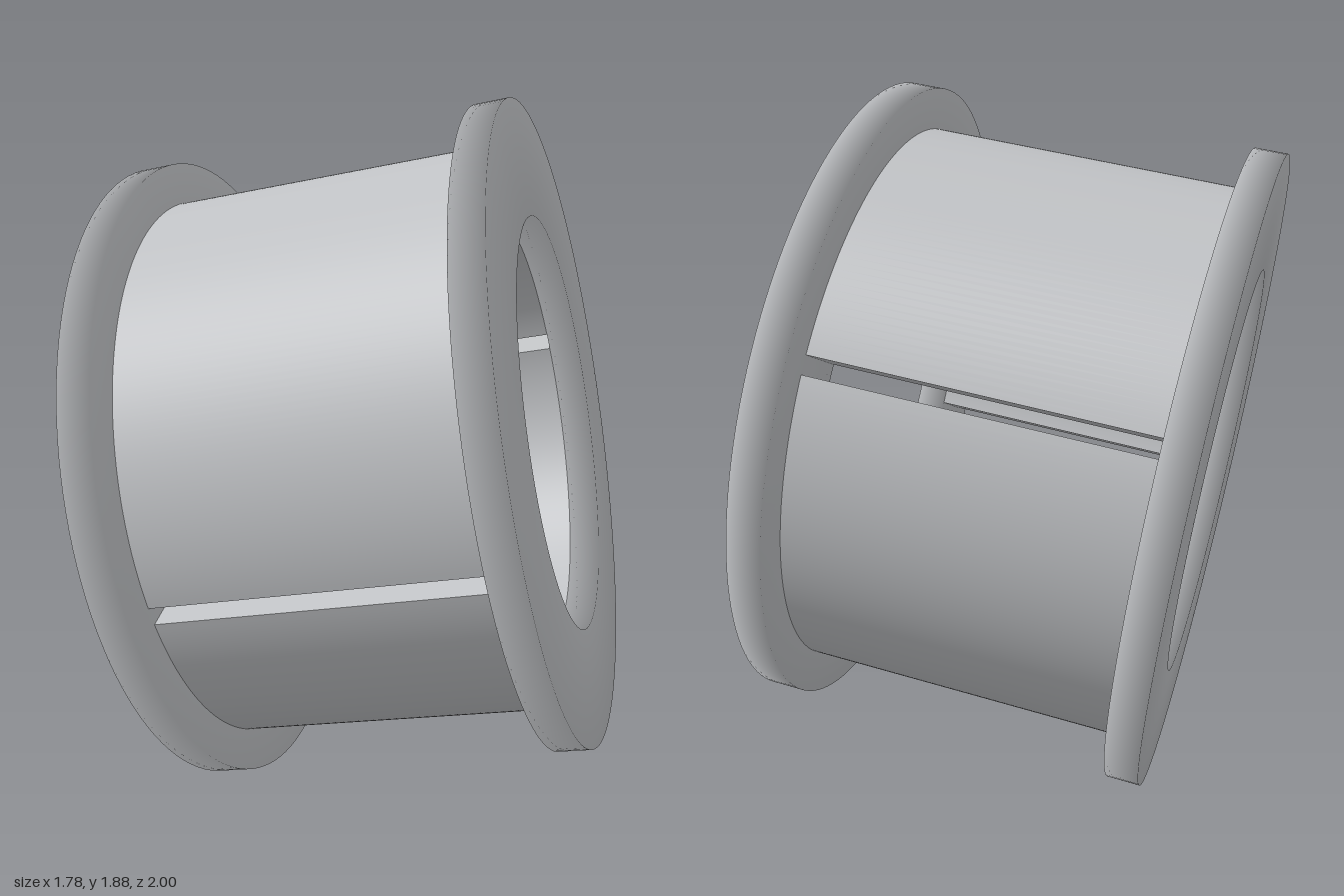
import * as THREE from 'three';
import { mergeVertices, toCreasedNormals } from 'three/addons/utils/BufferGeometryUtils.js';

const FLANGE_R = 0.861, TUBE_R = 0.753, BORE_R = 0.555;
const SPACING = 0.94, THICK = 0.086, SLOT = 0.047;

// Flat ring with normals blended over its corners, axis along z
function flangeGeometry() {
  const h = THICK / 2;
  const profile = [[FLANGE_R, -h], [FLANGE_R, h], [BORE_R, h], [BORE_R, -h], [FLANGE_R, -h]]
    .map(([r, y]) => new THREE.Vector2(r, y));
  const lathe = new THREE.LatheGeometry(profile, 128);
  lathe.deleteAttribute('uv');
  lathe.deleteAttribute('normal');
  const ring = mergeVertices(lathe, 1e-4);
  ring.computeVertexNormals();
  return ring.rotateX(Math.PI / 2);
}

// Half of the thick sleeve, cut short of the parallel-sided slots
function halfSleeveGeometry() {
  const outer = Math.asin(SLOT / 2 / TUBE_R), inner = Math.asin(SLOT / 2 / BORE_R);
  const shape = new THREE.Shape();
  shape.absarc(0, 0, TUBE_R, outer, Math.PI - outer, false);
  shape.absarc(0, 0, BORE_R, Math.PI - inner, inner, true);
  shape.closePath();
  const depth = SPACING - THICK;
  const half = new THREE.ExtrudeGeometry(shape, { depth, bevelEnabled: false, curveSegments: 64 });
  half.translate(0, 0, -depth / 2);
  return toCreasedNormals(half, 0.5);
}

export function createModel() {
  const grey = new THREE.MeshStandardMaterial({ color: 0xbfc1c4 });
  grey.name = 'plain grey';
  const model = new THREE.Group();
  model.name = 'slottedSpool';

  const flange = flangeGeometry(), half = halfSleeveGeometry();
  for (const side of [-1, 1]) {
    const ring = new THREE.Mesh(flange, grey);
    ring.name = side < 0 ? 'frontFlange' : 'rearFlange';
    ring.position.z = side * SPACING / 2;
    const sleeve = new THREE.Mesh(half, grey);
    sleeve.name = side < 0 ? 'lowerSleeve' : 'upperSleeve';
    if (side < 0) sleeve.rotation.z = Math.PI;
    model.add(ring, sleeve);
  }

  // Tilt: local z is the spool axis, local x points through the slots
  const axis = new THREE.Vector3(0.847, 0.178, -0.5).normalize();
  const up = axis.clone().cross(new THREE.Vector3(0.531, -0.288, 0.797)).normalize();
  const slotDir = up.clone().cross(axis);
  model.quaternion.setFromRotationMatrix(new THREE.Matrix4().makeBasis(slotDir, up, axis));
  model.position.y = 0.938;
  const root = new THREE.Group();
  root.name = 'spool';
  root.add(model);
  return root;
}
